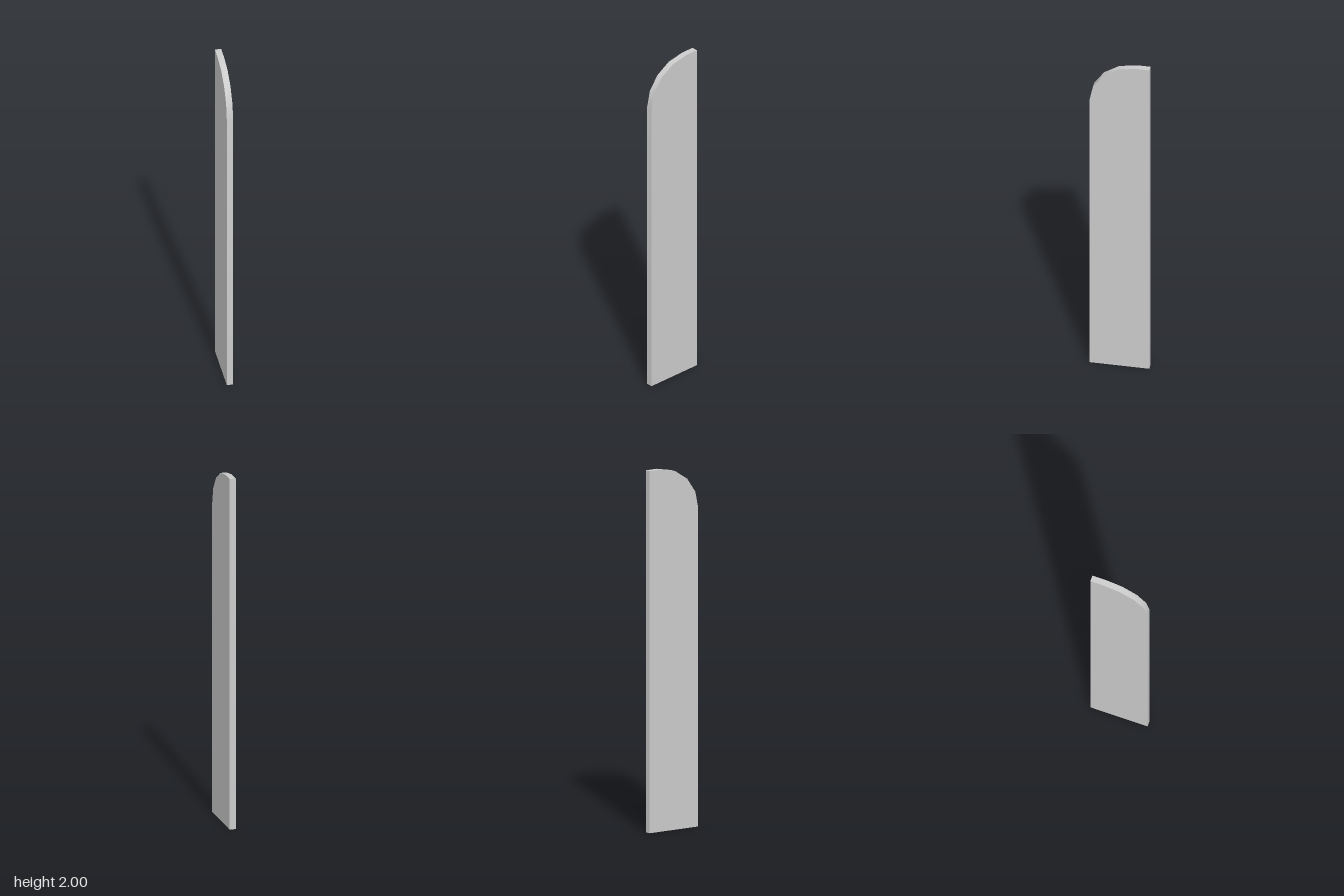
import * as THREE from 'three';
import { toCreasedNormals } from 'three/addons/utils/BufferGeometryUtils.js';

export function createModel() {
  const group = new THREE.Group();
  const thickness = 0.035, half = 0.165, height = 2;
  const rz = 0.255, ry = 0.24; // radii of the rounded front top corner

  // Side profile: shape x becomes model z
  const profile = new THREE.Shape();
  profile.moveTo(-half, 0);
  profile.lineTo(half, 0);
  const steps = 4;
  for (let i = 0; i <= steps; i++) {
    const a = (i / steps) * Math.PI / 2;
    profile.lineTo(half - rz + rz * Math.cos(a), height - ry + ry * Math.sin(a));
  }
  profile.lineTo(-half, height);
  profile.closePath();

  // Thin upright board, smooth only around the curved corner
  const geometry = new THREE.ExtrudeGeometry(profile, { depth: thickness, bevelEnabled: false });
  geometry.translate(0, 0, -thickness / 2);
  geometry.rotateY(-Math.PI / 2);

  const panel = new THREE.Mesh(
    toCreasedNormals(geometry, THREE.MathUtils.degToRad(35)),
    new THREE.MeshStandardMaterial({ color: 0xcccccc })
  );
  panel.name = 'roundedPanel';
  group.add(panel);
  return group;
}
